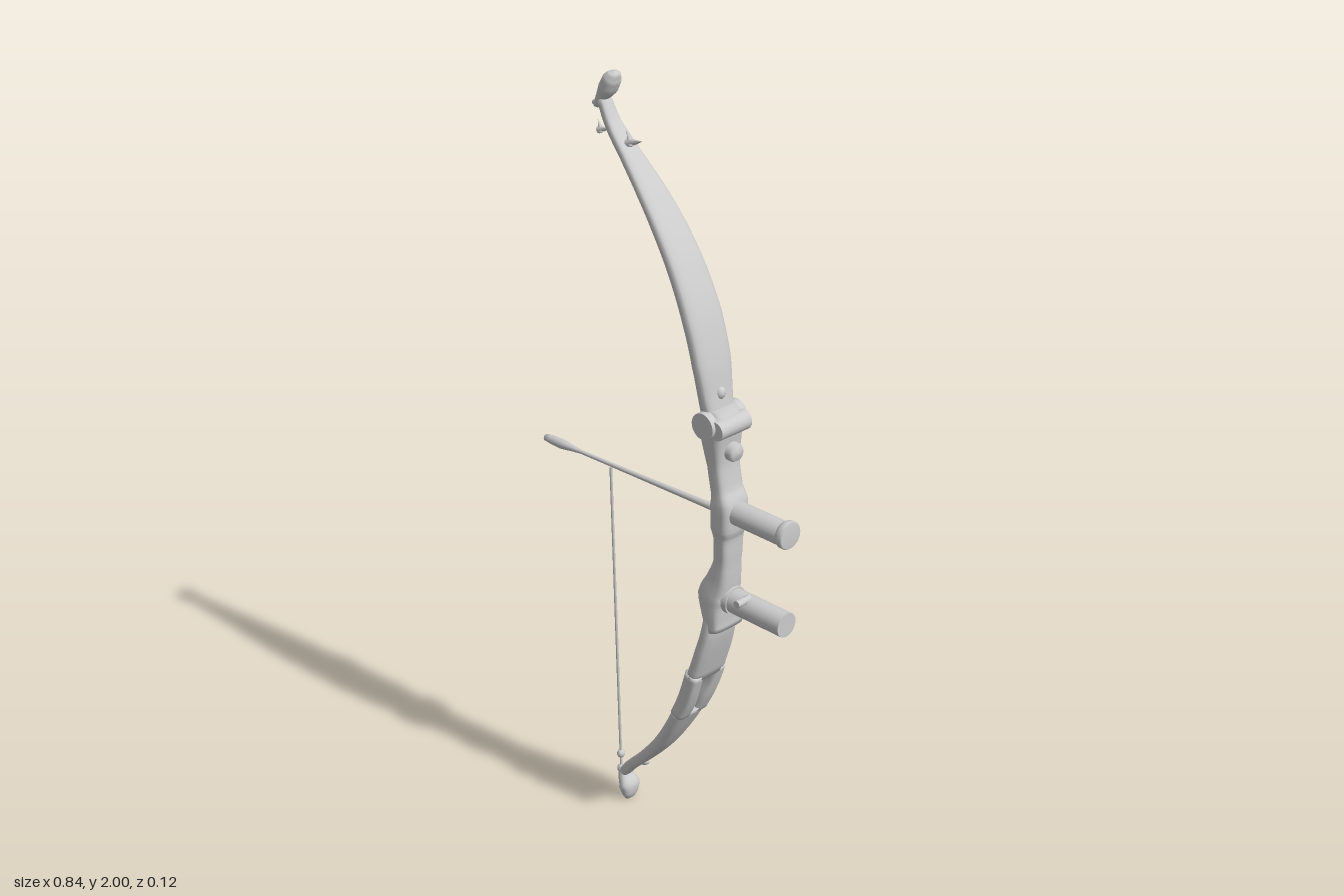
import * as THREE from 'three';

const material = new THREE.MeshStandardMaterial({ color: 0xcccccc, side: THREE.DoubleSide });

function add(parent, name, geometry, x = 0, y = 0, z = 0, rx = 0, ry = 0, rz = 0) {
  const mesh = new THREE.Mesh(geometry, material);
  mesh.name = name;
  mesh.position.set(x, y, z);
  mesh.rotation.set(rx, ry, rz);
  parent.add(mesh);
  return mesh;
}

// Smooth loft through stations [x, y, half thickness, half width, z offset]
function loft(stations, power = 3, steps = 4, sides = 24) {
  const path = new THREE.CatmullRomCurve3(stations.map(s => new THREE.Vector3(s[0], s[1], s[4] || 0)), false, 'centripetal');
  const n = (stations.length - 1) * steps;
  const pos = [], idx = [];
  const round = v => Math.sign(v) * Math.pow(Math.abs(v), 2 / power);
  for (let i = 0; i <= n; i++) {
    const t = i / n, k = Math.min(Math.floor(i / steps), stations.length - 2), f = i / steps - k;
    const a = stations[k], b = stations[k + 1];
    const p = path.getPoint(t), d = path.getTangent(t);
    const len = Math.hypot(d.x, d.y), nx = d.y / len, ny = -d.x / len;
    const thick = THREE.MathUtils.lerp(a[2], b[2], f), wide = THREE.MathUtils.lerp(a[3], b[3], f);
    for (let j = 0; j < sides; j++) {
      const ang = (j / sides) * Math.PI * 2;
      const u = round(Math.cos(ang)) * thick, w = round(Math.sin(ang)) * wide;
      pos.push(p.x + nx * u, p.y + ny * u, p.z + w);
    }
  }
  for (let i = 0; i < n; i++) for (let j = 0; j < sides; j++) {
    const a = i * sides + j, b = i * sides + (j + 1) % sides;
    idx.push(a, a + sides, b, b, a + sides, b + sides);
  }
  // end caps
  for (let j = 1; j < sides - 1; j++) {
    idx.push(0, j, j + 1);
    const e = n * sides;
    idx.push(e, e + j + 1, e + j);
  }
  // stations run down the bow, so the side winding is turned outward
  if (stations[0][1] > stations[stations.length - 1][1]) {
    for (let i = 0; i < idx.length; i += 3) [idx[i + 1], idx[i + 2]] = [idx[i + 2], idx[i + 1]];
  }
  for (let i = 0; i < idx.length; i += 3) [idx[i + 1], idx[i + 2]] = [idx[i + 2], idx[i + 1]];
  const g = new THREE.BufferGeometry();
  g.setAttribute('position', new THREE.Float32BufferAttribute(pos, 3));
  g.setIndex(idx);
  g.computeVertexNormals();
  return g;
}

// Straight rod between two points in the x-y plane
function rod(parent, name, x0, y0, x1, y1, r, sides = 8) {
  const len = Math.hypot(x1 - x0, y1 - y0);
  return add(parent, name, new THREE.CylinderGeometry(r, r, len, sides),
    (x0 + x1) / 2, (y0 + y1) / 2, 0, 0, 0, Math.atan2(y1 - y0, x1 - x0) - Math.PI / 2);
}

function ellipsoid(parent, name, x, y, rx, ry, rz, tilt = 0, z = 0) {
  return add(parent, name, new THREE.SphereGeometry(1, 18, 12), x, y, z, 0, 0, tilt).scale.set(rx, ry, rz);
}

const lathe = (points, sides = 24) => new THREE.LatheGeometry(points.map(p => new THREE.Vector2(...p)), sides);

export function createModel() {
  const bow = new THREE.Group();
  bow.name = 'bow';

  // Upper limb
  add(bow, 'upperLimb', loft([
    [-0.195, 1.925, 0.012, 0.018], [-0.165, 1.87, 0.013, 0.022], [-0.11, 1.81, 0.014, 0.03],
    [-0.04, 1.735, 0.016, 0.042], [0.02, 1.66, 0.018, 0.05], [0.075, 1.575, 0.02, 0.055],
    [0.125, 1.47, 0.021, 0.059], [0.157, 1.365, 0.021, 0.058], [0.172, 1.28, 0.021, 0.05], [0.186, 1.2, 0.025, 0.04]]));

  // Riser with its swellings
  add(bow, 'riser', loft([
    [0.188, 1.255, 0.025, 0.04], [0.19, 1.22, 0.044, 0.05], [0.193, 1.17, 0.035, 0.047],
    [0.2, 1.11, 0.026, 0.041], [0.212, 1.045, 0.025, 0.041], [0.22, 1.01, 0.033, 0.046],
    [0.22, 0.945, 0.032, 0.044], [0.219, 0.92, 0.025, 0.038], [0.217, 0.85, 0.024, 0.035],
    [0.205, 0.795, 0.035, 0.039], [0.193, 0.75, 0.046, 0.046], [0.2, 0.7, 0.034, 0.05], [0.211, 0.66, 0.022, 0.05]], 3.5));

  // Lower limb, forked around a tapering slot
  add(bow, 'lowerLimbRoot', loft([[0.196, 0.72, 0.02, 0.045], [0.189, 0.65, 0.021, 0.054],
    [0.172, 0.585, 0.021, 0.059], [0.146, 0.505, 0.021, 0.06]]));
  for (const s of [1, -1]) {
    add(bow, 'lowerLimbFork', loft([[0.148, 0.515, 0.021, 0.02, 0.04 * s], [0.13, 0.46, 0.021, 0.0205, 0.037 * s],
      [0.112, 0.415, 0.021, 0.0235, 0.032 * s], [0.09, 0.37, 0.02, 0.025, 0.03 * s]], 3.5));
  }
  add(bow, 'lowerLimbTip', loft([[0.095, 0.382, 0.02, 0.055], [0.055, 0.31, 0.019, 0.048],
    [0.005, 0.235, 0.018, 0.038], [-0.065, 0.155, 0.015, 0.028], [-0.115, 0.105, 0.014, 0.02], [-0.143, 0.07, 0.013, 0.017]]));

  // Curled tips
  add(bow, 'upperTipCurl', loft([[-0.212, 1.905, 0.009, 0.016], [-0.197, 1.93, 0.014, 0.019],
    [-0.18, 1.955, 0.021, 0.025], [-0.167, 1.98, 0.02, 0.024], [-0.158, 1.994, 0.012, 0.016], [-0.156, 2, 0.003, 0.005]], 2.4));
  add(bow, 'lowerTipCurl', loft([[-0.145, 0.085, 0.011, 0.015], [-0.138, 0.06, 0.016, 0.022],
    [-0.126, 0.04, 0.02, 0.031], [-0.124, 0.015, 0.015, 0.024], [-0.125, 0, 0.007, 0.015]], 2.4));

  // Small horns and string knots at the tips
  ellipsoid(bow, 'upperNock', -0.214, 1.91, 0.018, 0.009, 0.012, 0.2);
  for (const [x, y, s] of [[-0.1, 1.842, 1], [-0.2, 1.848, 0.8]]) {
    const horn = new THREE.Group();
    horn.name = 'upperHorn';
    horn.position.set(x, y, 0);
    horn.scale.setScalar(s);
    add(horn, 'hornProng', new THREE.ConeGeometry(0.012, 0.05, 8), 0.008, 0, 0, 0, 0, -1.25);
    add(horn, 'hornProng', new THREE.ConeGeometry(0.011, 0.04, 8), -0.012, 0.006, 0, 0, 0, 0.45);
    bow.add(horn);
  }
  ellipsoid(bow, 'lowerHorn', -0.075, 0.135, 0.022, 0.011, 0.013, 0.2);
  for (const y of [0.075, 0.12]) ellipsoid(bow, 'stringKnot', -0.156, y, 0.01, 0.012, 0.011);

  // Bowstring
  rod(bow, 'bowstring', -0.184, 0.957, -0.155, 0.07, 0.0035);

  // Arrow with a long fluted tail
  const arrow = add(bow, 'arrow', lathe([[0, 0], [0.009, 0.002], [0.011, 0.02], [0.013, 0.06], [0.008, 0.1],
    [0.005, 0.13], [0.006, 0.3], [0.008, 0.5], [0.01, 0.65], [0.009, 0.74], [0, 0.742]], 12), -0.42, 0.957);
  arrow.rotation.z = -Math.PI / 2 + 0.032;

  // Upper pivot drum, its knob and limb bolt
  add(bow, 'pivotDrum', new THREE.CylinderGeometry(0.034, 0.034, 0.12, 28), 0.186, 1.22, 0, Math.PI / 2);
  add(bow, 'pivotBlock', new THREE.CylinderGeometry(0.024, 0.026, 0.1, 20), 0.219, 1.215, 0, Math.PI / 2);
  add(bow, 'sightKnob', lathe([[0, 0], [0.021, 0], [0.024, 0.006], [0.024, 0.045], [0.019, 0.054], [0, 0.056]]),
    0.193, 1.15, 0, 0, 0, -Math.PI / 2);
  ellipsoid(bow, 'limbBolt', 0.188, 1.29, 0.012, 0.016, 0.014);

  // Upper barrel: arched hood over the arrow, open below, with an end flange
  const barrel = new THREE.Group();
  barrel.name = 'upperBarrel';
  barrel.position.set(0.22, 0.99, 0);
  const hood = new THREE.Shape();
  hood.absarc(0, 0, 0.031, -0.65, Math.PI + 0.65, false);
  hood.absarc(0, 0, 0.02, Math.PI + 0.65, -0.65, true);
  add(barrel, 'barrelHood', new THREE.ExtrudeGeometry(hood, { depth: 0.18, bevelEnabled: false, curveSegments: 24 }),
    0, 0, 0, 0, Math.PI / 2);
  add(barrel, 'barrelFlange', lathe([[0, 0], [0.03, 0], [0.036, 0.008], [0.036, 0.02], [0.033, 0.024], [0, 0.024]]),
    0.176, 0.003, 0, 0, 0, -Math.PI / 2);
  bow.add(barrel);

  // Lower barrel with a side button
  add(bow, 'lowerBarrel', new THREE.CylinderGeometry(0.032, 0.032, 0.22, 28), 0.303, 0.747, 0, 0, 0, Math.PI / 2);
  add(bow, 'barrelSocket', new THREE.CylinderGeometry(0.036, 0.04, 0.05, 24), 0.22, 0.747, 0, 0, 0, -Math.PI / 2);
  add(bow, 'sideButton', new THREE.CylinderGeometry(0.01, 0.01, 0.045, 14), 0.295, 0.776, 0.028, Math.PI / 2);

  return bow;
}
